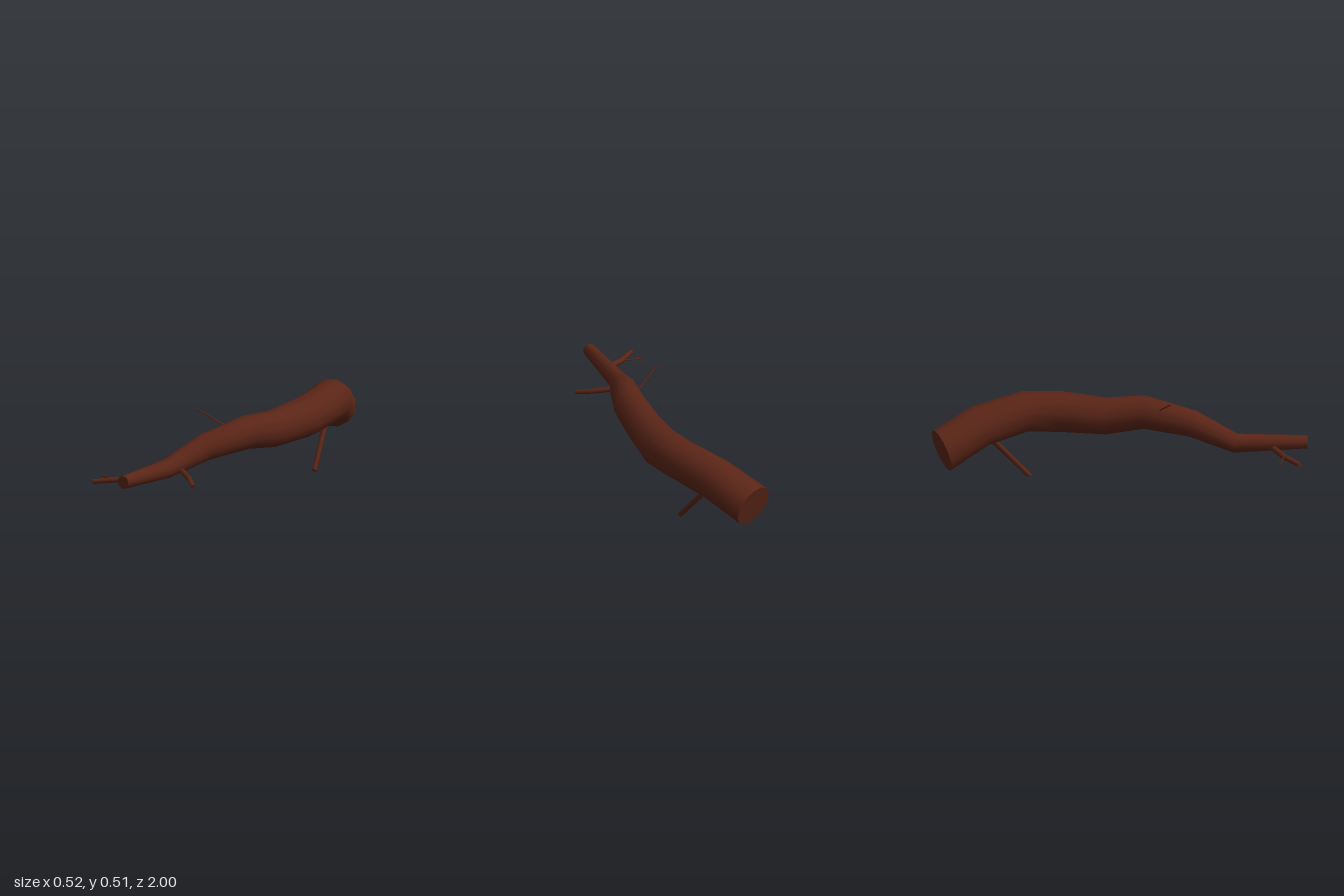
import * as THREE from 'three';

const bark = new THREE.MeshStandardMaterial({ color: 0x5a2517 });

// Tapered limb: mitred rings along stations [x, y, z, radius], smooth sides and flat caps.
function limb(name, stations, sides, startTangent) {
  const pts = stations.map(s => new THREE.Vector3(s[0], s[1], s[2]));
  const last = pts.length - 1;
  const dir = i => pts[i + 1].clone().sub(pts[i]).normalize();
  const pos = [], index = [];
  pts.forEach((p, i) => {
    const t = i === 0 ? (startTangent || dir(0)).clone()
      : i === last ? dir(last - 1)
      : dir(i - 1).add(dir(i));
    t.normalize();
    const u = new THREE.Vector3(0, 1, 0).cross(t).normalize();
    const v = t.clone().cross(u);
    for (let k = 0; k < sides; k++) {
      const a = (k + 0.5) / sides * Math.PI * 2;
      const q = p.clone()
        .addScaledVector(u, Math.cos(a) * stations[i][3])
        .addScaledVector(v, Math.sin(a) * stations[i][3]);
      pos.push(q.x, q.y, q.z);
    }
  });
  for (let i = 0; i < last; i++) {
    for (let k = 0; k < sides; k++) {
      const n = (k + 1) % sides;
      const a = i * sides + k, b = i * sides + n, c = a + sides, d = b + sides;
      index.push(a, b, d, a, d, c);
    }
  }
  // Caps use their own vertices so the rims stay sharp.
  [0, last].forEach(ring => {
    const base = pos.length / 3;
    for (let k = 0; k < sides * 3; k++) pos.push(pos[ring * sides * 3 + k]);
    for (let k = 1; k < sides - 1; k++) {
      if (ring === 0) index.push(base, base + k + 1, base + k);
      else index.push(base, base + k, base + k + 1);
    }
  });
  const geo = new THREE.BufferGeometry();
  geo.setAttribute('position', new THREE.Float32BufferAttribute(pos, 3));
  geo.setIndex(index);
  geo.computeVertexNormals();
  const mesh = new THREE.Mesh(geo, bark);
  mesh.name = name;
  return mesh;
}

export function createModel() {
  const group = new THREE.Group();
  group.name = 'fallenBranch';

  // Main limb, from the thick cut end at the back to the thin front end
  group.add(limb('mainLimb', [
    [-0.135, 0.228, -0.955, 0.119],
    [0.0, 0.325, -0.758, 0.115],
    [0.12, 0.367, -0.53, 0.11],
    [0.15, 0.36, -0.345, 0.11],
    [0.129, 0.348, -0.1, 0.099],
    [0.122, 0.378, 0.11, 0.09],
    [0.052, 0.345, 0.372, 0.073],
    [-0.02, 0.267, 0.605, 0.052],
    [-0.0125, 0.282, 0.99, 0.035],
  ], 12, new THREE.Vector3(0.41, 0.29, 0.87)));

  // Stub that props the thick end on the ground
  group.add(limb('lowerStub', [
    [0.005, 0.285, -0.735, 0.015],
    [0.095, 0.012, -0.502, 0.014],
  ], 6));

  // Thin twig on the upper right side
  group.add(limb('upperTwig', [
    [0.07, 0.402, 0.182, 0.005],
    [-0.094, 0.505, 0.266, 0.004],
  ], 5));

  // Bent side branches near the front
  group.add(limb('leftBranch', [
    [0.0, 0.265, 0.54, 0.015],
    [0.13, 0.24, 0.607, 0.014],
    [0.203, 0.222, 0.665, 0.012],
  ], 7));
  group.add(limb('rightBranch', [
    [-0.01, 0.258, 0.785, 0.018],
    [-0.15, 0.244, 0.875, 0.015],
    [-0.242, 0.237, 0.963, 0.013],
  ], 7));

  // Twiglet on the right branch
  group.add(limb('rightTwiglet', [
    [-0.14, 0.245, 0.872, 0.005],
    [-0.264, 0.24, 0.861, 0.004],
  ], 5));

  return group;
}
